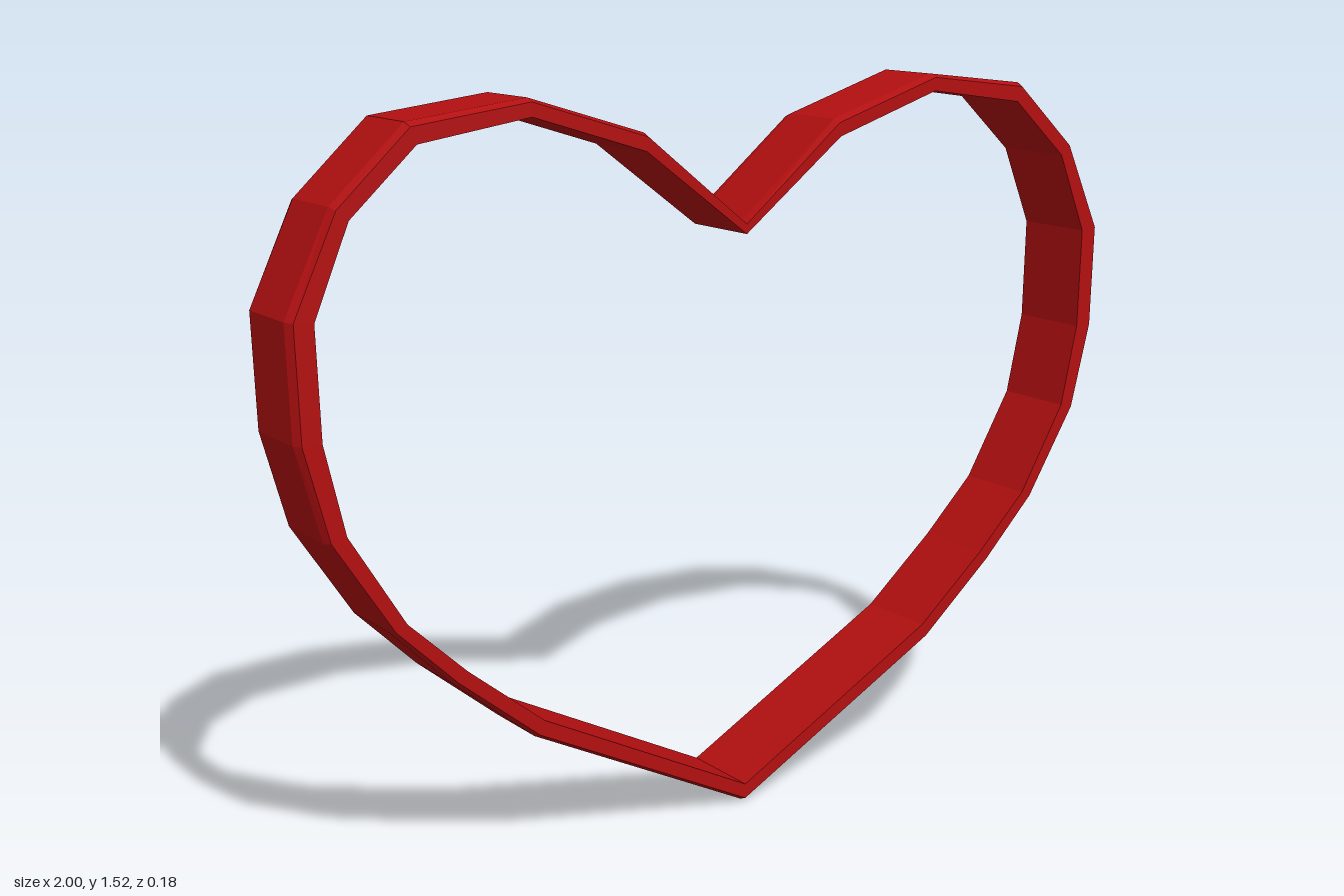
import * as THREE from 'three';

// Right half of the heart, bottom tip to top notch: [outer x, outer y, inner x, inner y]
const HALF = [
  [0, 0, 0, 0.04],
  [0.51, 0.265, 0.495, 0.3],
  [0.69, 0.415, 0.665, 0.44],
  [0.82, 0.545, 0.79, 0.56],
  [0.945, 0.74, 0.905, 0.75],
  [0.995, 0.93, 0.945, 0.93],
  [1.0, 1.155, 0.95, 1.15],
  [0.905, 1.35, 0.875, 1.325],
  [0.75, 1.49, 0.735, 1.45],
  [0.495, 1.52, 0.495, 1.485],
  [0.235, 1.44, 0.24, 1.405],
  [0, 1.25, 0, 1.225],
];

// Band cross-section: [fraction from inner to outer edge, z], with bevelled outer edges
const SECTION = [[0, -0.09], [0.8, -0.09], [1, -0.072], [1, 0.072], [0.8, 0.09], [0, 0.09]];

function bandGeometry() {
  // Mirror the half outline into a closed loop
  const mirrored = HALF.slice(1, -1).reverse().map(([ox, oy, ix, iy]) => [-ox, oy, -ix, iy]);
  const rings = [...HALF, ...mirrored].map(([ox, oy, ix, iy]) =>
    SECTION.map(([t, z]) => [ix + (ox - ix) * t, iy + (oy - iy) * t, z]));

  // Join neighbouring sections with unshared quads so that facets stay flat
  const positions = [];
  rings.forEach((a, i) => {
    const b = rings[(i + 1) % rings.length];
    SECTION.forEach((_, k) => {
      const n = (k + 1) % SECTION.length;
      positions.push(...a[k], ...b[k], ...b[n], ...a[k], ...b[n], ...a[n]);
    });
  });
  const geometry = new THREE.BufferGeometry();
  geometry.setAttribute('position', new THREE.Float32BufferAttribute(positions, 3));
  geometry.computeVertexNormals();
  return geometry;
}

export function createModel() {
  const red = new THREE.MeshStandardMaterial({ color: 0xb30f10, flatShading: true });
  red.name = 'red';

  const band = new THREE.Mesh(bandGeometry(), red);
  band.name = 'heartBand';

  const model = new THREE.Group();
  model.name = 'heartFrame';
  model.add(band);
  return model;
}
